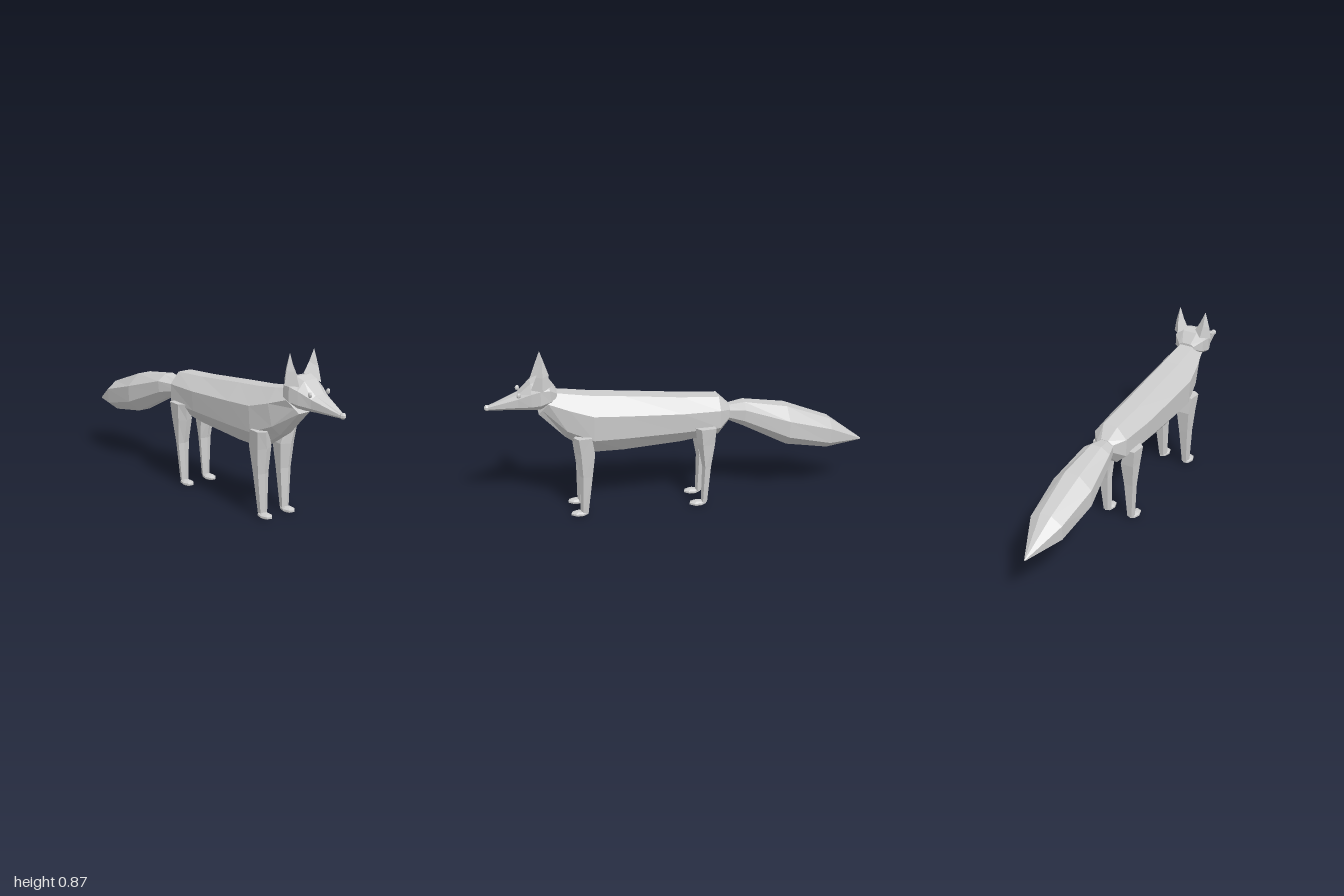
import * as THREE from 'three';

// Skin a list of equal-length point rings; points run anticlockwise seen from the first ring's side.
function loft(rings, flip = false) {
  const pos = [];
  const tri = (a, b, c) => (flip ? [a, c, b] : [a, b, c]).forEach(p => pos.push(...p));
  const n = rings[0].length;
  for (let r = 0; r < rings.length - 1; r++) {
    const a = rings[r], b = rings[r + 1];
    for (let i = 0; i < n; i++) {
      const j = (i + 1) % n;
      tri(a[i], b[i], a[j]);
      tri(a[j], b[i], b[j]);
    }
  }
  const first = rings[0], last = rings[rings.length - 1];
  for (let i = 1; i < n - 1; i++) {
    tri(first[0], first[i], first[i + 1]);
    tri(last[0], last[i + 1], last[i]);
  }
  const g = new THREE.BufferGeometry();
  g.setAttribute('position', new THREE.Float32BufferAttribute(pos, 3));
  g.computeVertexNormals();
  return g;
}

// Eight-sided section: z and height at top / bottom, heights of the two side edges, four half widths.
function section([zTop, zBot, top, upper, lower, bottom, wTop, wUpper, wLower, wBottom]) {
  const z = y => zBot + (zTop - zBot) * (y - bottom) / (top - bottom);
  const right = [[wBottom, bottom], [wLower, lower], [wUpper, upper], [wTop, top]];
  const left = right.map(([x, y]) => [-x, y]).reverse();
  return [...right, ...left].map(([x, y]) => [x, y, z(y)]);
}

export function createModel() {
  const model = new THREE.Group();
  const fur = new THREE.MeshStandardMaterial({ color: 0xcccccc });
  fur.name = 'grey';
  fur.flatShading = true;
  const shift = -0.006;
  const add = (name, geometry, x = shift, y = 0, z = 0) => {
    const mesh = new THREE.Mesh(geometry, fur);
    mesh.name = name;
    mesh.position.set(x, y, z);
    model.add(mesh);
    return mesh;
  };

  // Body from neck to rump
  add('body', loft([
    [0.65, 0.73, 0.68, 0.635, 0.595, 0.57, 0.035, 0.075, 0.05, 0.035],
    [0.57, 0.60, 0.668, 0.60, 0.485, 0.435, 0.04, 0.098, 0.085, 0.035],
    [0.46, 0.46, 0.652, 0.565, 0.43, 0.34, 0.042, 0.116, 0.108, 0.035],
    [0.30, 0.30, 0.638, 0.555, 0.43, 0.34, 0.042, 0.114, 0.106, 0.035],
    [0.00, 0.00, 0.608, 0.54, 0.435, 0.36, 0.042, 0.108, 0.10, 0.035],
    [-0.20, -0.20, 0.595, 0.535, 0.44, 0.388, 0.04, 0.092, 0.09, 0.035],
    [-0.26, -0.26, 0.54, 0.52, 0.48, 0.455, 0.02, 0.045, 0.045, 0.02],
  ].map(section)));

  // Bushy tail
  add('tail', loft([
    [-0.24, -0.24, 0.535, 0.515, 0.48, 0.46, 0.016, 0.042, 0.042, 0.016],
    [-0.34, -0.33, 0.55, 0.52, 0.46, 0.42, 0.028, 0.075, 0.072, 0.025],
    [-0.57, -0.57, 0.512, 0.45, 0.36, 0.297, 0.04, 0.108, 0.106, 0.038],
    [-0.81, -0.80, 0.42, 0.38, 0.30, 0.256, 0.03, 0.088, 0.084, 0.03],
    [-1.00, -1.00, 0.280, 0.278, 0.274, 0.272, 0.001, 0.003, 0.003, 0.001],
  ].map(section)));

  // Wedge-shaped head
  add('head', loft([
    [0.98, 0.98, 0.622, 0.616, 0.607, 0.60, 0.006, 0.011, 0.011, 0.006],
    [0.83, 0.83, 0.68, 0.665, 0.62, 0.597, 0.028, 0.055, 0.053, 0.02],
    [0.765, 0.765, 0.738, 0.695, 0.628, 0.595, 0.04, 0.08, 0.08, 0.032],
    [0.72, 0.72, 0.753, 0.71, 0.637, 0.597, 0.045, 0.094, 0.094, 0.038],
    [0.675, 0.665, 0.745, 0.71, 0.65, 0.62, 0.04, 0.085, 0.082, 0.035],
    [0.635, 0.635, 0.69, 0.68, 0.66, 0.65, 0.025, 0.045, 0.045, 0.025],
  ].map(section)));

  const ball = new THREE.SphereGeometry(1, 7, 5);
  add('nose', ball, shift, 0.612, 0.984).scale.setScalar(0.016);

  for (const s of [1, -1]) {
    const side = s > 0 ? 'left' : 'right';

    // Eye
    add(side + 'Eye', ball, shift + s * 0.058, 0.687, 0.826).scale.set(0.009, 0.014, 0.012);

    // Pointed ear with a four-cornered base
    const base = [[0.112, 0.716, 0.71], [0.068, 0.73, 0.66], [0.022, 0.755, 0.695], [0.07, 0.715, 0.765]];
    const tip = [0.077, 0.868, 0.705];
    const ear = [
      base.map(p => p.map((v, k) => tip[k] + (v - tip[k]) * 0.01)),
      base.map(p => p.map((v, k) => tip[k] + (v - tip[k]) * 0.55 + (k === 0 ? 0.004 : 0))),
      base,
    ].map(ring => ring.map(([x, y, z]) => [s * x, y, z]));
    add(side + 'Ear', loft(ear, s < 0));

    // Legs: height, outer x, inner x, front z, back z, with a ridge down the front
    const legs = {
      Front: [[0.452, 0.13, 0.055, 0.565, 0.475], [0.36, 0.12, 0.03, 0.555, 0.46],
        [0.23, 0.108, 0.04, 0.54, 0.475], [0.02, 0.093, 0.05, 0.54, 0.5]],
      Back: [[0.452, 0.13, 0.055, -0.065, -0.17], [0.36, 0.12, 0.03, -0.08, -0.165],
        [0.23, 0.108, 0.04, -0.105, -0.148], [0.02, 0.093, 0.05, -0.1, -0.132]],
    };
    for (const [end, rows] of Object.entries(legs)) {
      const rings = rows.map(([y, xo, xi, zf, zb]) => {
        const d = (zf - zb) * 0.25;
        return [[xo - 0.008, zb], [xi + 0.01, zb], [xi, zf - d], [xi * 0.45 + xo * 0.55, zf], [xo, zf - d]]
          .map(([x, z]) => [s * x, y, z]);
      });
      add(side + end + 'Leg', loft(rings, s < 0), shift * 0.7);
      add(side + end + 'Paw', ball, shift + s * 0.075, 0.015, end === 'Front' ? 0.545 : -0.083)
        .scale.set(0.031, 0.015, 0.048);
    }
  }
  return model;
}
